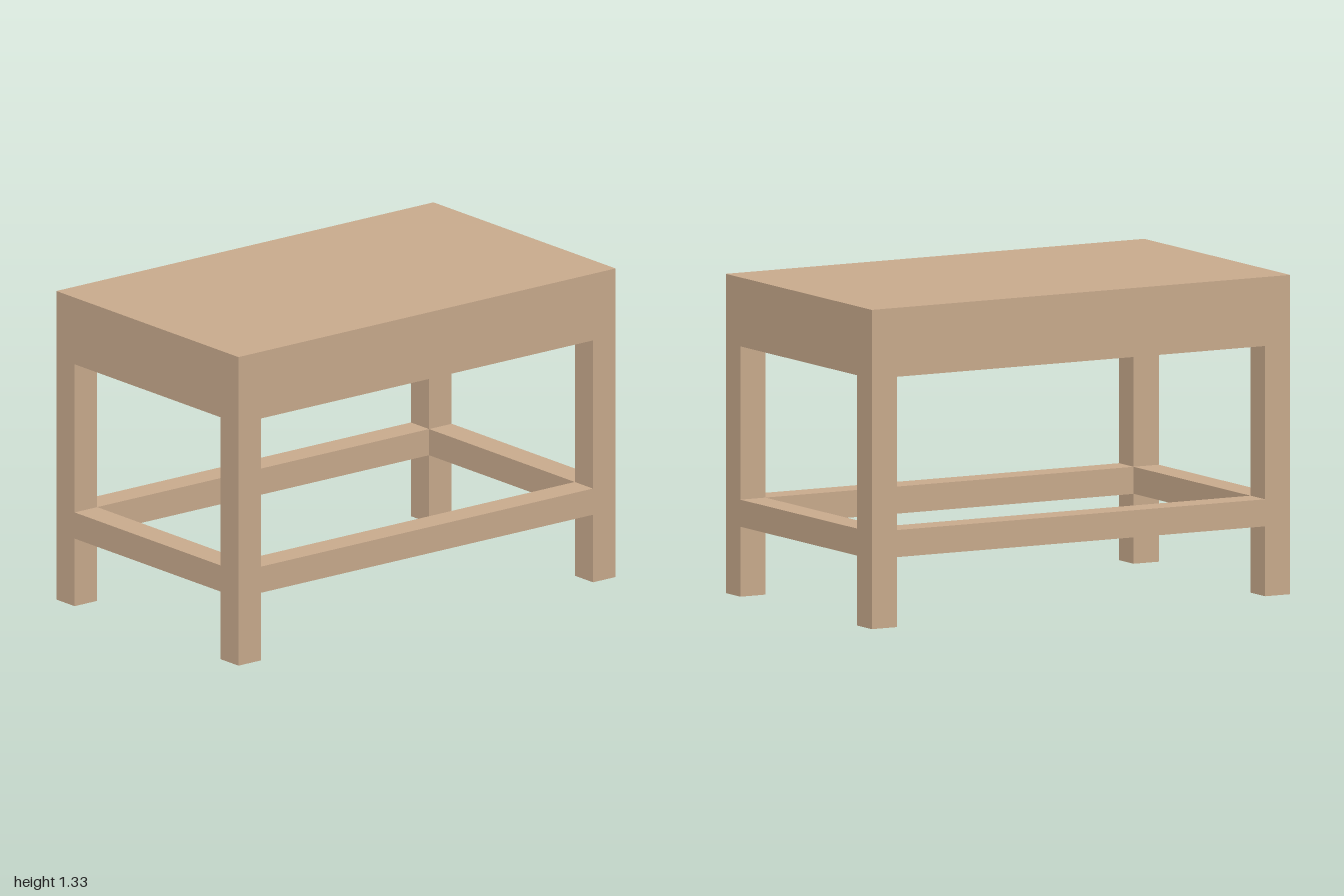
import * as THREE from 'three';

const W = 2, D = 1.2, H = 1.333;      // overall size
const LEG = 0.12;                     // square leg and rail thickness
const TOP_BOTTOM = 1.045;             // underside of the thick top
const RAIL_LOW = 0.292, RAIL_HIGH = 0.405;

export function createModel() {
  const group = new THREE.Group();
  group.name = 'table';
  const wood = new THREE.MeshStandardMaterial({ color: 0xc8aa8c });
  wood.name = 'light wood';

  // Box standing between two heights
  const addBox = (name, w, d, x, z, y0, y1) => {
    const mesh = new THREE.Mesh(new THREE.BoxGeometry(w, y1 - y0, d), wood);
    mesh.position.set(x, (y0 + y1) / 2, z);
    mesh.name = name;
    group.add(mesh);
  };

  // Thick solid top
  addBox('tableTop', W, D, 0, 0, TOP_BOTTOM, H);

  const legX = (W - LEG) / 2, legZ = (D - LEG) / 2;
  for (const s of [-1, 1]) {
    const side = s > 0 ? 'left' : 'right';
    const end = s > 0 ? 'front' : 'back';
    // Corner legs, flush with the top
    addBox(side + 'FrontLeg', LEG, LEG, s * legX, legZ, 0, TOP_BOTTOM);
    addBox(side + 'BackLeg', LEG, LEG, s * legX, -legZ, 0, TOP_BOTTOM);
    // Lower rails between the legs
    addBox(end + 'Rail', W - 2 * LEG, LEG, 0, s * legZ, RAIL_LOW, RAIL_HIGH);
    addBox(side + 'Rail', LEG, D - 2 * LEG, s * legX, 0, RAIL_LOW, RAIL_HIGH);
  }
  return group;
}
